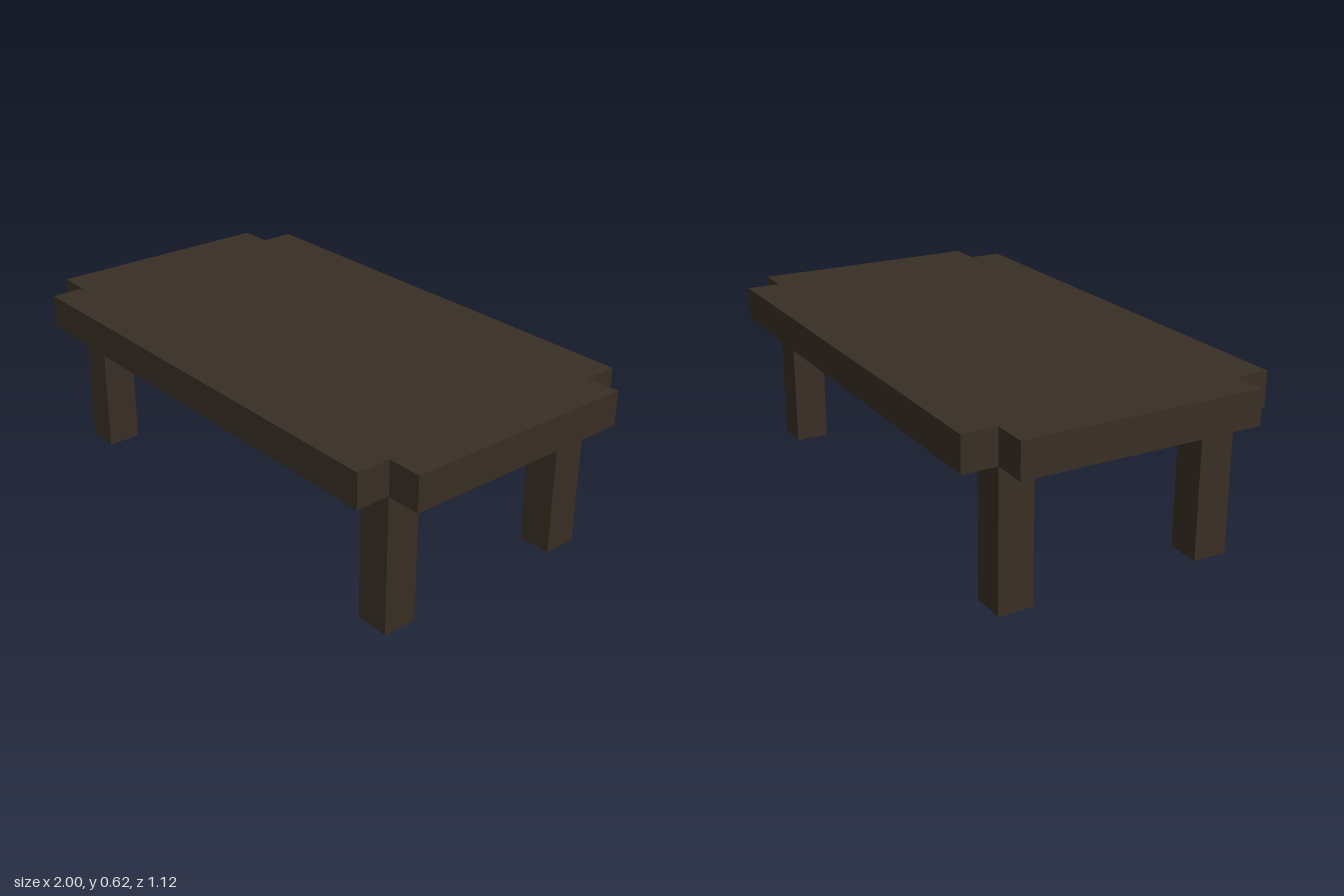
import * as THREE from 'three';

export function createModel() {
  const model = new THREE.Group();
  model.name = 'lowTable';
  const darkWood = new THREE.MeshStandardMaterial({ color: 0x382e24 });
  darkWood.name = 'darkWood';

  const unit = 0.125; // leg width, top thickness and corner notch
  const legHeight = 0.5;
  const halfX = 1, halfZ = 0.5625;
  const innerX = halfX - unit, innerZ = halfZ - unit;

  // Table top: a slab with a square notch at each corner
  const outline = new THREE.Shape([
    [innerX, -halfZ], [innerX, -innerZ], [halfX, -innerZ],
    [halfX, innerZ], [innerX, innerZ], [innerX, halfZ],
    [-innerX, halfZ], [-innerX, innerZ], [-halfX, innerZ],
    [-halfX, -innerZ], [-innerX, -innerZ], [-innerX, -halfZ],
  ].map(([x, z]) => new THREE.Vector2(x, z)));
  const topGeometry = new THREE.ExtrudeGeometry(outline, { depth: unit, bevelEnabled: false });
  topGeometry.rotateX(-Math.PI / 2);
  const top = new THREE.Mesh(topGeometry, darkWood);
  top.name = 'tableTop';
  top.position.y = legHeight;
  model.add(top);

  // Four square legs, flush with the notches
  const legGeometry = new THREE.BoxGeometry(unit, legHeight, unit);
  for (const [side, x] of [['Left', 1], ['Right', -1]]) {
    for (const [end, z] of [['front', 1], ['back', -1]]) {
      const leg = new THREE.Mesh(legGeometry, darkWood);
      leg.name = `${end}${side}Leg`;
      leg.position.set(x * (innerX - unit / 2), legHeight / 2, z * (innerZ - unit / 2));
      model.add(leg);
    }
  }
  return model;
}
